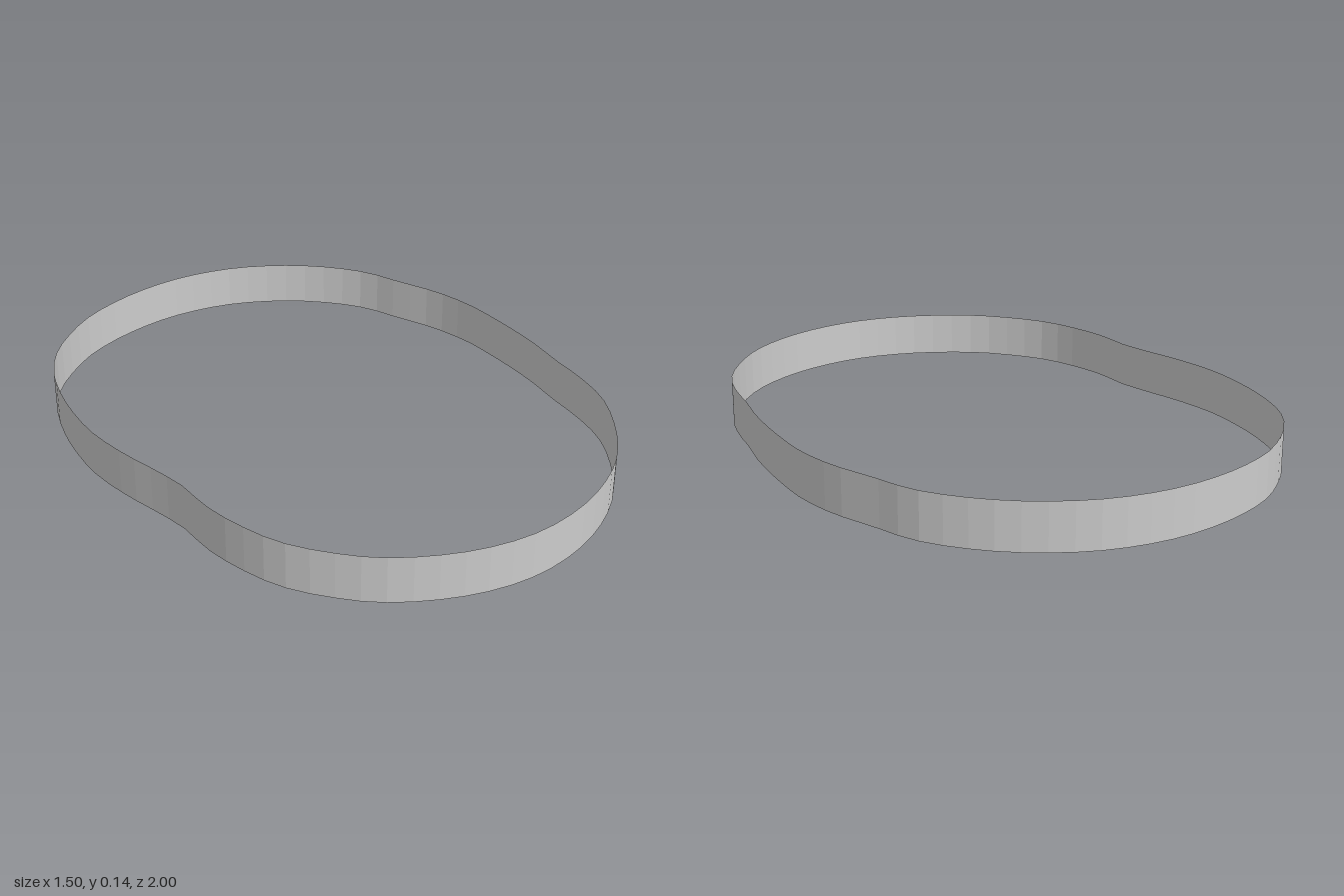
import * as THREE from 'three';

const HEIGHT = 0.145;
const SEGMENTS = 80;

// Outline of the band as x, z pairs, starting at the back and running round by +x
const OUTLINE = [
  [0, -1], [0.2, -0.975], [0.37, -0.9], [0.5, -0.8], [0.605, -0.67], [0.66, -0.53],
  [0.715, -0.39], [0.745, -0.25], [0.75, -0.15], [0.745, 0.03], [0.735, 0.14], [0.715, 0.26],
  [0.7, 0.39], [0.665, 0.53], [0.6, 0.65], [0.49, 0.79], [0.37, 0.885], [0.2, 0.965],
  [0, 1], [-0.2, 0.97], [-0.4, 0.875], [-0.5, 0.785], [-0.6, 0.65], [-0.655, 0.49],
  [-0.675, 0.37], [-0.675, 0.26], [-0.695, 0.15], [-0.73, 0], [-0.75, -0.15], [-0.748, -0.25],
  [-0.725, -0.42], [-0.67, -0.6], [-0.6, -0.715], [-0.5, -0.815], [-0.39, -0.895], [-0.2, -0.97],
];

export function createModel() {
  const group = new THREE.Group();
  group.name = 'bandModel';

  const curve = new THREE.CatmullRomCurve3(
    OUTLINE.map(([x, z]) => new THREE.Vector3(x, 0, z)), true, 'centripetal');
  const ring = curve.getSpacedPoints(SEGMENTS);

  // Wrap a flat strip round the outline, reversed so that its front faces outward
  const geometry = new THREE.PlaneGeometry(1, 1, SEGMENTS, 1);
  const position = geometry.attributes.position;
  for (let i = 0; i <= SEGMENTS; i++) {
    const p = ring[SEGMENTS - i];
    position.setXYZ(i, p.x, HEIGHT, p.z);
    position.setXYZ(i + SEGMENTS + 1, p.x, 0, p.z);
  }
  geometry.computeVertexNormals();

  const band = new THREE.Mesh(geometry, new THREE.MeshStandardMaterial({
    color: 0xcccccc, flatShading: true, side: THREE.DoubleSide,
  }));
  band.name = 'band';
  group.add(band);
  return group;
}
